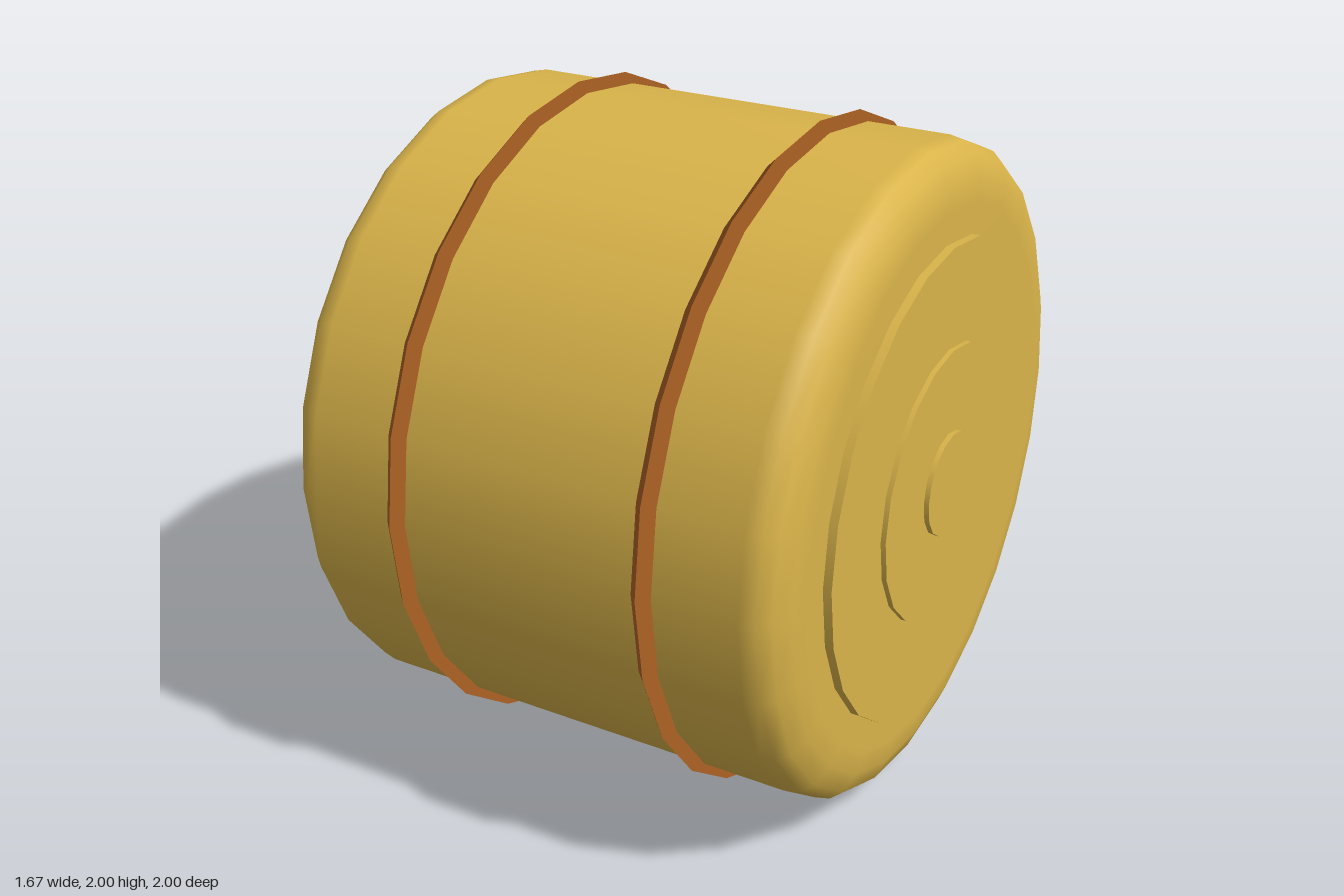
import * as THREE from 'three';

const straw = new THREE.MeshStandardMaterial({ color: 0xdab44a });
straw.name = 'straw';
const twine = new THREE.MeshStandardMaterial({ color: 0xad6225 });
twine.name = 'twine';

function addPart(group, name, geometry, material) {
  const mesh = new THREE.Mesh(geometry, material);
  mesh.name = name;
  group.add(mesh);
  return mesh;
}

export function createModel() {
  const group = new THREE.Group();
  group.name = 'roundBale';
  const bale = new THREE.Group();
  bale.name = 'bale';
  bale.position.y = 1;
  group.add(bale);

  // Rounded body, turned about the x axis: [radius, distance from middle]
  const half = [[0, 0.78], [0.8, 0.78], [0.87, 0.775], [0.93, 0.75], [0.96, 0.715], [0.97, 0.67]];
  const profile = [
    ...half.map(([r, d]) => new THREE.Vector2(r, -d)),
    ...half.map(([r, d]) => new THREE.Vector2(r, d)).reverse(),
  ];
  const body = new THREE.LatheGeometry(profile, 24);
  body.rotateZ(-Math.PI / 2);
  addPart(bale, 'body', body, straw);

  for (const side of [-1, 1]) {
    const label = side > 0 ? 'left' : 'right';

    // Stepped discs that show the rolled layers: [radius, outer x, sides]
    const discs = [[0.71, 0.805, 24], [0.41, 0.82, 20], [0.155, 0.835, 16]];
    discs.forEach(([radius, outer, sides], i) => {
      const depth = outer - 0.76;
      const disc = new THREE.CylinderGeometry(radius, radius, depth, sides);
      disc.rotateZ(-Math.PI / 2);
      addPart(bale, `${label}EndLayer${i + 1}`, disc, straw).position.x = side * (0.76 + depth / 2);
    });

    // Twine band, with even sideways normals so it reads as one flat tone
    const band = new THREE.TorusGeometry(0.97, 0.03, 4, 24);
    const normals = band.attributes.normal;
    for (let i = 0; i < normals.count; i++) normals.setXYZ(i, 0, 0, 1);
    band.rotateY(Math.PI / 2);
    addPart(bale, `${label}Band`, band, twine).position.x = side * 0.39;
  }
  return group;
}
